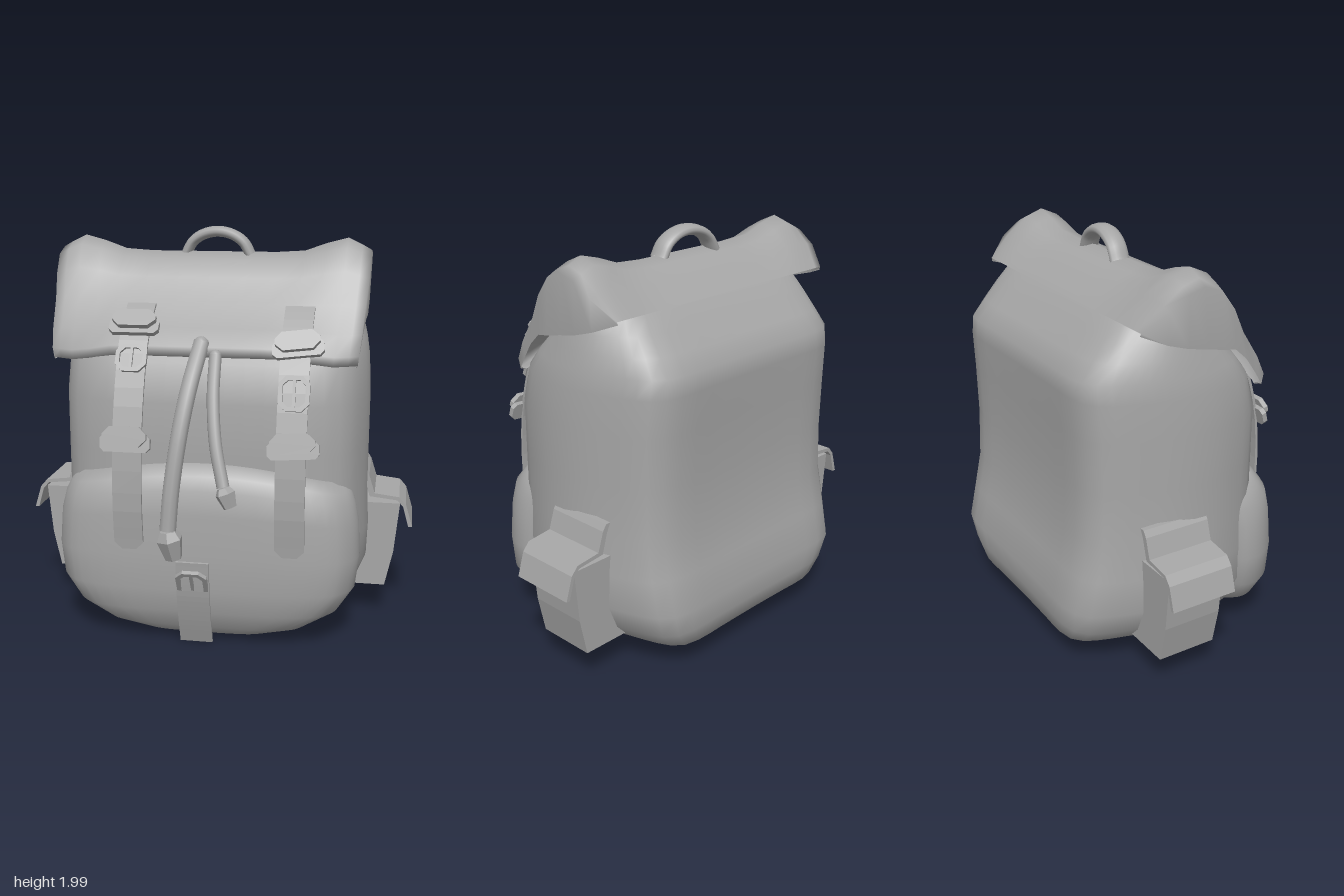
import * as THREE from 'three';

const fabric = new THREE.MeshStandardMaterial({ color: 0xa6a6a6 });
fabric.name = 'grey fabric';
fabric.side = THREE.DoubleSide;

const V = (x, y, z) => new THREE.Vector3(x, y, z);

function add(parent, name, geometry) {
  const mesh = new THREE.Mesh(geometry, fabric);
  mesh.name = name;
  parent.add(mesh);
  return mesh;
}

// Smooth skin over rows of points; wrap joins each row into a ring
function skin(rows, wrap) {
  const n = rows[0].length, index = [];
  for (let r = 0; r < rows.length - 1; r++) {
    for (let i = 0; i < (wrap ? n : n - 1); i++) {
      const a = r * n + i, b = r * n + (i + 1) % n;
      index.push(a, a + n, b, b, a + n, b + n);
    }
  }
  const g = new THREE.BufferGeometry().setFromPoints(rows.flat());
  g.setIndex(index);
  g.computeVertexNormals();
  return g;
}

// Stack of rings [y, half width, front z, back z, arch]; outline is half a unit section, back to front
function loft(sections, outline) {
  const mirrored = outline.slice(1, -1).reverse().map(([x, z]) => [-x, z]);
  const ring = new THREE.CatmullRomCurve3([...outline, ...mirrored].map(([x, z]) => V(x, 0, z)), true)
    .getSpacedPoints(56).slice(0, -1);
  const first = sections[0], last = sections[sections.length - 1];
  const cap = (s) => [s[0], 0.001, (s[2] + s[3]) / 2 + 0.001, (s[2] + s[3]) / 2, s[4]];
  const rows = [cap(first), ...sections, cap(last)].map(([y, hw, zf, zb, arch = 0]) =>
    ring.map((p) => V(p.x * hw, y - arch * (p.x * hw / 0.72) ** 2, (zf + zb) / 2 + (zf - zb) / 2 * p.z)));
  return skin(rows, true);
}

// Flat band of given width along a path of [z, y] points
function band(path, x, width, thick) {
  const curve = new THREE.SplineCurve(path.map(([z, y]) => new THREE.Vector2(z, y)));
  const outer = [], inner = [];
  for (let i = 0; i <= 16; i++) {
    const p = curve.getPoint(i / 16), t = curve.getTangent(i / 16);
    outer.push(new THREE.Vector2(p.x - t.y * thick / 2, p.y + t.x * thick / 2));
    inner.unshift(new THREE.Vector2(p.x + t.y * thick / 2, p.y - t.x * thick / 2));
  }
  const g = new THREE.ExtrudeGeometry(new THREE.Shape([...outer, ...inner]), { depth: width, bevelEnabled: false });
  return g.rotateY(-Math.PI / 2).translate(x + width / 2, 0, 0);
}

function octagon(w, h, c) {
  const x = w / 2, y = h / 2;
  return [[-x + c, -y], [x - c, -y], [x, -y + c], [x, y - c], [x - c, y], [-x + c, y], [-x, y - c], [-x, -y + c]]
    .map(([a, b]) => new THREE.Vector2(a, b));
}

function plate(w, h, c, depth, z, hole) {
  const shape = new THREE.Shape(octagon(w, h, c));
  if (hole) shape.holes.push(new THREE.Path(octagon(w - hole, h - hole, c * 0.7)));
  return new THREE.ExtrudeGeometry(shape, { depth, bevelEnabled: false }).translate(0, 0, z);
}

function place(parent, name, x, y, z, tilt, roll = 0) {
  const g = new THREE.Group();
  g.name = name;
  g.position.set(x, y, z);
  g.rotation.set(-tilt, 0, roll);
  parent.add(g);
  return g;
}

function clip(parent, ...at) {
  const g = place(parent, 'clip', ...at);
  add(g, 'clipBase', plate(0.24, 0.085, 0.02, 0.025, 0).translate(0, -0.015, 0));
  add(g, 'clipFace', plate(0.21, 0.095, 0.035, 0.025, 0.025).translate(0, 0.015, 0));
}

function slider(parent, w, h, ...at) {
  const g = place(parent, 'slider', ...at);
  add(g, 'sliderFrame', plate(w, h, 0.035, 0.02, 0, 0.04));
  add(g, 'sliderPin', new THREE.BoxGeometry(0.014, h - 0.02, 0.014).translate(0, 0, 0.012));
}

// Drawcord with a flared end
function cord(parent, points, r, tip) {
  const g = new THREE.Group();
  g.name = 'drawcord';
  parent.add(g);
  const curve = new THREE.CatmullRomCurve3(points.map((p) => V(...p)));
  add(g, 'cord', new THREE.TubeGeometry(curve, 20, r, 10));
  add(g, 'cordTop', new THREE.SphereGeometry(r, 10, 6)).position.copy(curve.getPoint(0));
  const end = curve.getPoint(1), dir = V(...tip).sub(end);
  const profile = [[0, 0], [r, 0], [r * 1.6, 0.3], [r * 1.05, 1], [0, 1]]
    .map(([a, b]) => new THREE.Vector2(a, b * dir.length()));
  const flare = new THREE.LatheGeometry(profile, 6).toNonIndexed();
  flare.computeVertexNormals();
  const knot = add(g, 'cordEnd', flare);
  knot.position.copy(end);
  knot.quaternion.setFromUnitVectors(V(0, 1, 0), dir.normalize());
}

export function createModel() {
  const model = new THREE.Group();
  model.name = 'backpack';

  // Main sack
  add(model, 'body', loft([
    [0.05, 0.2, -0.04, -0.32], [0.065, 0.4, 0.1, -0.46], [0.1, 0.53, 0.22, -0.56], [0.15, 0.64, 0.29, -0.64],
    [0.23, 0.72, 0.34, -0.655], [0.35, 0.77, 0.36, -0.67], [0.52, 0.775, 0.36, -0.63], [0.7, 0.765, 0.36, -0.595],
    [0.95, 0.765, 0.36, -0.585], [1.2, 0.765, 0.36, -0.59], [1.38, 0.755, 0.32, -0.6], [1.47, 0.74, 0.25, -0.595],
    [1.55, 0.72, 0.17, -0.53], [1.63, 0.7, 0.08, -0.46], [1.7, 0.67, 0.02, -0.4], [1.77, 0.62, -0.03, -0.32],
  ], [[0, -0.98], [0.35, -0.985], [0.65, -0.985], [0.79, -0.92], [0.94, -0.45], [1, 0], [0.97, 0.45],
    [0.84, 0.84], [0.6, 0.98], [0.3, 1], [0, 1]]));

  // Bulging front pocket
  add(model, 'frontPocket', loft([
    [0.02, 0.14, 0.32, 0.25], [0.04, 0.31, 0.36, 0.22], [0.09, 0.5, 0.41, 0.19], [0.18, 0.65, 0.45, 0.16],
    [0.3, 0.73, 0.475, 0.13], [0.48, 0.75, 0.48, 0.11, 0.02], [0.68, 0.74, 0.47, 0.1, 0.05],
    [0.8, 0.72, 0.46, 0.08, 0.08], [0.86, 0.7, 0.42, 0.07, 0.1], [0.91, 0.67, 0.37, 0.06, 0.11],
  ], [[0, -1], [0.4, -1], [0.8, -0.95], [0.96, -0.65], [1, -0.25], [0.95, 0.35], [0.83, 0.77], [0.62, 0.96], [0.3, 1], [0, 1]]));

  // Folded top flap: [z, y, half width, end lift, hem z, hem y, corner setback]
  const flapRows = [
    [-0.4, 1.715, 0.71, 0, -0.4, 1.7, 0], [-0.3, 1.8, 0.77, 0.03, -0.3, 1.66, 0],
    [-0.21, 1.855, 0.78, 0.065, -0.2, 1.63, 0], [-0.13, 1.875, 0.78, 0.075, -0.1, 1.61, 0],
    [-0.04, 1.845, 0.78, 0.065, -0.01, 1.59, 0], [0.03, 1.76, 0.775, 0.04, 0.05, 1.58, 0],
    [0.11, 1.65, 0.765, 0, 0.12, 1.52, 0.02], [0.24, 1.54, 0.755, -0.02, 0.18, 1.44, 0.06],
    [0.33, 1.465, 0.745, -0.04, 0.22, 1.385, 0.1], [0.345, 1.425, 0.74, -0.045, 0.23, 1.37, 0.12],
    [0.29, 1.41, 0.73, -0.03, 0.2, 1.38, 0.1],
  ];
  const across = [-1, -0.94, -0.85, -0.72, -0.58, -0.4, -0.2, 0, 0.2, 0.4, 0.58, 0.72, 0.85, 0.94, 1];
  add(model, 'topFlap', skin(flapRows.map(([z, y, hw, lift, hz, hy, back]) => {
    const row = across.map((u) => {
      const a = Math.abs(u), rise = THREE.MathUtils.smoothstep(a, 0.5, 0.87);
      const droop = lift > 0 ? lift * 0.8 * THREE.MathUtils.smoothstep(a, 0.87, 1) : 0;
      return V(-0.03 + u * hw, y + lift * rise - droop, z - back * a ** 4);
    });
    const hem = (s) => V(-0.03 + s * hw * 0.99, hy, hz);
    return [hem(-1), ...row, hem(1)];
  }), false));

  // Carry handle
  const arc = [[-0.18, 1.86], [-0.145, 1.92], [-0.09, 1.957], [-0.015, 1.972], [0.06, 1.957], [0.115, 1.92], [0.15, 1.86]];
  const handle = add(model, 'handle', new THREE.TubeGeometry(
    new THREE.CatmullRomCurve3(arc.map(([x, y]) => V(x, y, 0.045 * x))), 28, 0.027, 12));
  handle.scale.z = 1.9;
  handle.position.z = -0.14;

  // Front straps with clips, sliders and trimmed tails
  const path = [[0.15, 1.64], [0.25, 1.565], [0.34, 1.47], [0.43, 1.28], [0.495, 1.04], [0.515, 0.76], [0.498, 0.56]];
  for (const x of [-0.34, 0.43]) {
    add(model, 'frontStrap', band(path, x, 0.14, 0.014));
    const tail = place(model, 'strapTail', x, 0.555, 0.497, -0.1);
    add(tail, 'strapTip', plate(0.14, 0.095, 0.035, 0.014, -0.007));
  }
  clip(model, -0.345, 1.55, 0.275, 0.8);
  slider(model, 0.15, 0.135, -0.34, 1.41, 0.375, 0.5);
  clip(model, -0.345, 1.045, 0.495, 0.25);
  clip(model, 0.44, 1.48, 0.335, 0.6, 0.13);
  slider(model, 0.145, 0.165, 0.435, 1.28, 0.435, 0.35);
  clip(model, 0.44, 1.045, 0.495, 0.25, 0.07);

  // Lower centre strap and its buckle
  add(model, 'lowerStrap', band([[0.51, 0.46], [0.49, 0.3], [0.45, 0.15], [0.4, 0.01]], -0.03, 0.16, 0.012));
  slider(model, 0.15, 0.17, -0.03, 0.36, 0.505, -0.55);

  // Drawcords
  cord(model, [[-0.02, 1.475, 0.31], [-0.05, 1.3, 0.45], [-0.08, 1.1, 0.535], [-0.11, 0.85, 0.585], [-0.125, 0.65, 0.605]],
    0.04, [-0.1, 0.51, 0.59]);
  cord(model, [[0.055, 1.43, 0.35], [0.06, 1.25, 0.44], [0.085, 1.05, 0.52], [0.13, 0.86, 0.575]],
    0.03, [0.165, 0.77, 0.585]);

  // Side pockets with folded lids
  for (const s of [-1, 1]) {
    const prism = (pts, z, depth) => new THREE.ExtrudeGeometry(
      new THREE.Shape(pts.map(([x, y]) => new THREE.Vector2(s * x, y))), { depth, bevelEnabled: false }).translate(0, 0, z);
    const side = s > 0 ? 'left' : 'right';
    add(model, side + 'SidePocket', prism(
      [[0.6, 0.175], [0.87, 0.175], [0.91, 0.36], [0.935, 0.62], [0.6, 0.62]], -0.37, 0.295));
    add(model, side + 'PocketLid', prism(
      [[0.755, 0.8], [0.775, 0.77], [0.805, 0.675], [0.93, 0.66], [0.965, 0.62], [1, 0.505],
        [0.98, 0.505], [0.95, 0.61], [0.92, 0.643], [0.78, 0.658], [0.75, 0.76], [0.73, 0.8]], -0.39, 0.335));
  }
  return model;
}
